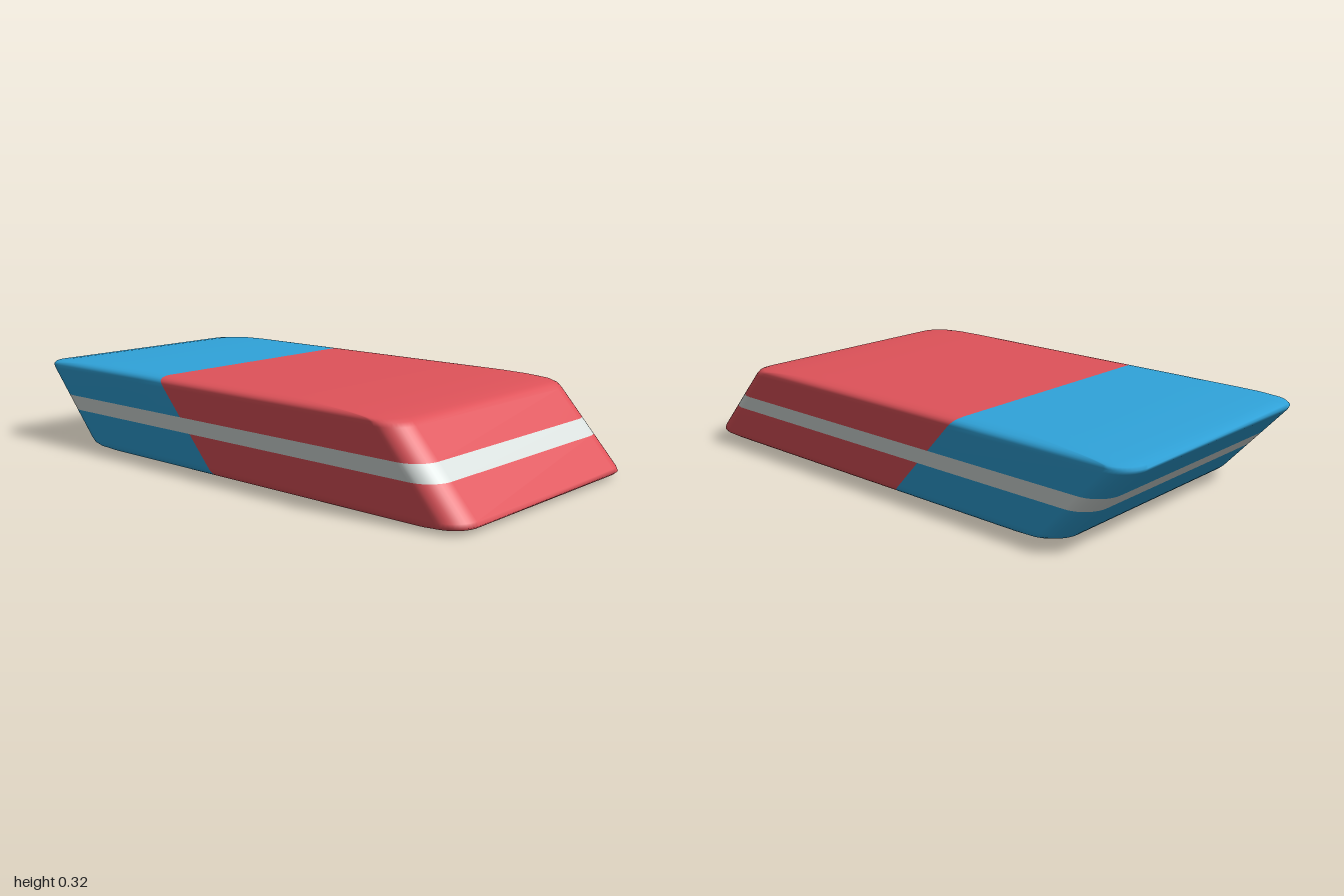
import * as THREE from 'three';

const HEIGHT = 0.32, MID = HEIGHT / 2;
const HALF_X = 0.5, HALF_Z = 0.88, CORNER = 0.09;
const LEAN = 0.9;      // z shift per unit of height
const SPLIT = -0.17;   // where the two colours meet, before leaning
const BAND = [0.137, 0.19];

// Softened rim: [distance from top or bottom, side inset, end inset]
const RIM = [
  [0, 0.06, 0.42], [0.001, 0.04, 0.3], [0.004, 0.022, 0.17], [0.008, 0.012, 0.08],
  [0.014, 0.005, 0.02], [0.022, 0.001, 0.004], [0.035, 0, 0],
];

// Right-hand half of a rounded rectangle, from front to back, as [x, z]
function halfOutline(insetX, insetZ) {
  const hx = HALF_X - insetX - CORNER, hz = HALF_Z - insetZ - CORNER;
  const arc = [];
  for (let i = 0; i <= 10; i++) {
    const a = (i / 10) * Math.PI / 2;
    arc.push([hx + CORNER * Math.sin(a), hz + CORNER * Math.cos(a)]);
  }
  const side = [0.3, SPLIT, -0.3].map((z) => [hx + CORNER, z]);
  const back = arc.map(([x, z]) => [x, -z]).reverse();
  return [...arc, ...side, ...back];
}

export function createModel() {
  const group = new THREE.Group();
  group.name = 'eraser';

  // Levels from bottom to top, with rings at the band's edges
  const levels = [
    ...RIM.map(([d, ix, iz]) => [d, ix, iz]),
    ...BAND.map((y) => [y, 0, 0]),
    ...RIM.map(([d, ix, iz]) => [HEIGHT - d, ix, iz]).reverse(),
  ];

  const positions = [];
  let count = 0, flatZ = [];
  for (const [y, ix, iz] of levels) {
    const half = halfOutline(ix, iz);
    const ring = [...half, ...half.map(([x, z]) => [-x, z]).reverse()];
    count = ring.length;
    for (const [x, z] of ring) {
      positions.push(x, y, z - LEAN * (y - MID));
      flatZ.push(z);
    }
  }

  // Sort faces into the three coloured parts
  const parts = { frontHalf: [], backHalf: [], middleBand: [] };
  const quad = (a, b, c, d, inBand) => {
    const z = (flatZ[a] + flatZ[b] + flatZ[c] + flatZ[d]) / 4;
    const list = inBand ? parts.middleBand : z > SPLIT ? parts.frontHalf : parts.backHalf;
    list.push(a, b, c, a, c, d);
  };

  // Walls and softened rims
  for (let j = 0; j < levels.length - 1; j++) {
    const inBand = j === RIM.length;
    for (let i = 0; i < count; i++) {
      const n = (i + 1) % count, lo = j * count, hi = lo + count;
      quad(lo + i, lo + n, hi + n, hi + i, inBand);
    }
  }
  // Flat top and bottom, bridged from side to side
  const top = (levels.length - 1) * count;
  for (let k = 0; k < count / 2 - 1; k++) {
    const l = count - 1 - k;
    quad(top + k, top + k + 1, top + l - 1, top + l, false);
    quad(l, l - 1, k + 1, k, false);
  }

  // Shared smooth normals keep the colour joins seamless
  const whole = new THREE.BufferGeometry();
  whole.setAttribute('position', new THREE.Float32BufferAttribute(positions, 3));
  whole.setIndex(Object.values(parts).flat());
  whole.computeVertexNormals();

  const material = (name, color) => {
    const m = new THREE.MeshStandardMaterial({ color });
    m.name = name;
    return m;
  };
  const materials = {
    frontHalf: material('red rubber', 0xe0535a),
    backHalf: material('blue rubber', 0x30a4db),
    middleBand: material('pale grey stripe', 0xd8dfdd),
  };
  for (const [name, index] of Object.entries(parts)) {
    const geometry = new THREE.BufferGeometry();
    geometry.setAttribute('position', whole.getAttribute('position'));
    geometry.setAttribute('normal', whole.getAttribute('normal'));
    geometry.setIndex(index);
    const mesh = new THREE.Mesh(geometry, materials[name]);
    mesh.name = name;
    group.add(mesh);
  }
  return group;
}
